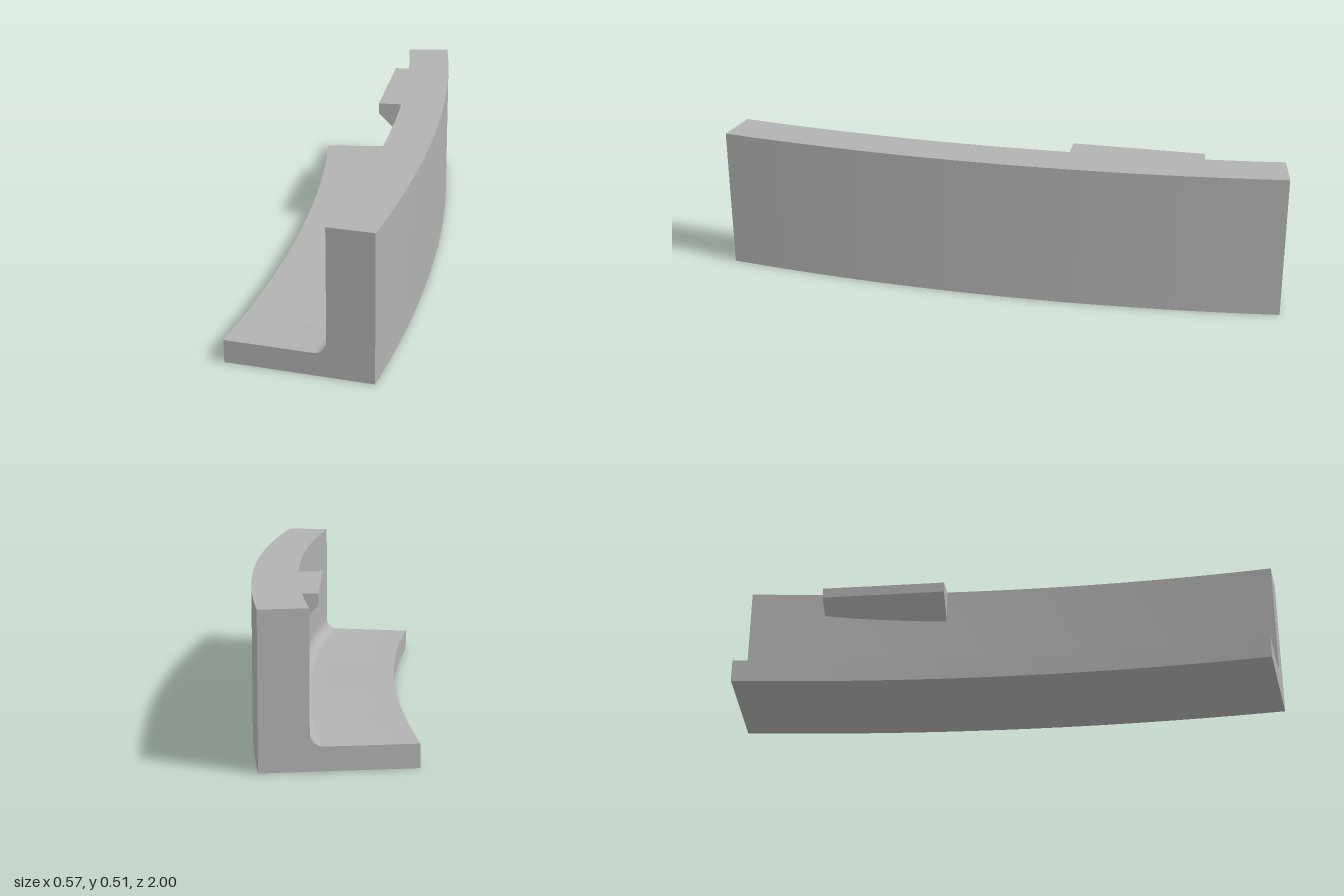
import * as THREE from 'three';
import { toCreasedNormals } from 'three/addons/utils/BufferGeometryUtils.js';

const CENTRE_X = -6.797;               // axis of the curved segment
const R_IN = 6.58, R_WALL = 6.922, R_OUT = 7.08;
const HALF_ANGLE = Math.asin(1 / R_OUT);
const HEIGHT = 0.506, FLANGE = 0.078, FILLET = 0.045;

export function createModel() {
  const group = new THREE.Group();
  const grey = new THREE.MeshStandardMaterial({ color: 0xb2b2b2 });
  grey.name = 'plain grey';

  // L-shaped section with a rounded inner corner: x is radius, z becomes angle
  const section = new THREE.Shape();
  section.moveTo(R_IN, 0);
  section.lineTo(R_OUT, 0);
  section.lineTo(R_OUT, HEIGHT);
  section.lineTo(R_WALL, HEIGHT);
  section.lineTo(R_WALL, FLANGE + FILLET);
  section.absarc(R_WALL - FILLET, FLANGE + FILLET, FILLET, 0, -Math.PI / 2, true);
  section.lineTo(R_IN, FLANGE);
  section.closePath();

  const bent = new THREE.ExtrudeGeometry(section, {
    depth: 2 * HALF_ANGLE, steps: 48, curveSegments: 10, bevelEnabled: false,
  });
  const p = bent.attributes.position;
  for (let i = 0; i < p.count; i++) {
    const r = p.getX(i), a = p.getZ(i) - HALF_ANGLE;
    p.setXYZ(i, CENTRE_X + r * Math.cos(a), p.getY(i), r * Math.sin(a));
  }
  const rail = new THREE.Mesh(toCreasedNormals(bent, 0.5), grey);
  rail.name = 'curvedAngleRail';
  group.add(rail);

  // Straight tab with a 45 degree underside, its back sunk into the wall
  const tabFront = 0.037, tabBack = 0.14, lip = 0.468;
  const tabSection = new THREE.Shape([
    new THREE.Vector2(tabFront, HEIGHT),
    new THREE.Vector2(tabFront, lip),
    new THREE.Vector2(tabBack, lip - (tabBack - tabFront)),
    new THREE.Vector2(tabBack, HEIGHT),
  ]);
  const tab = new THREE.Mesh(
    new THREE.ExtrudeGeometry(tabSection, { depth: 0.463, bevelEnabled: false }), grey);
  tab.position.z = -0.7;
  tab.name = 'lockingTab';
  group.add(tab);

  return group;
}
